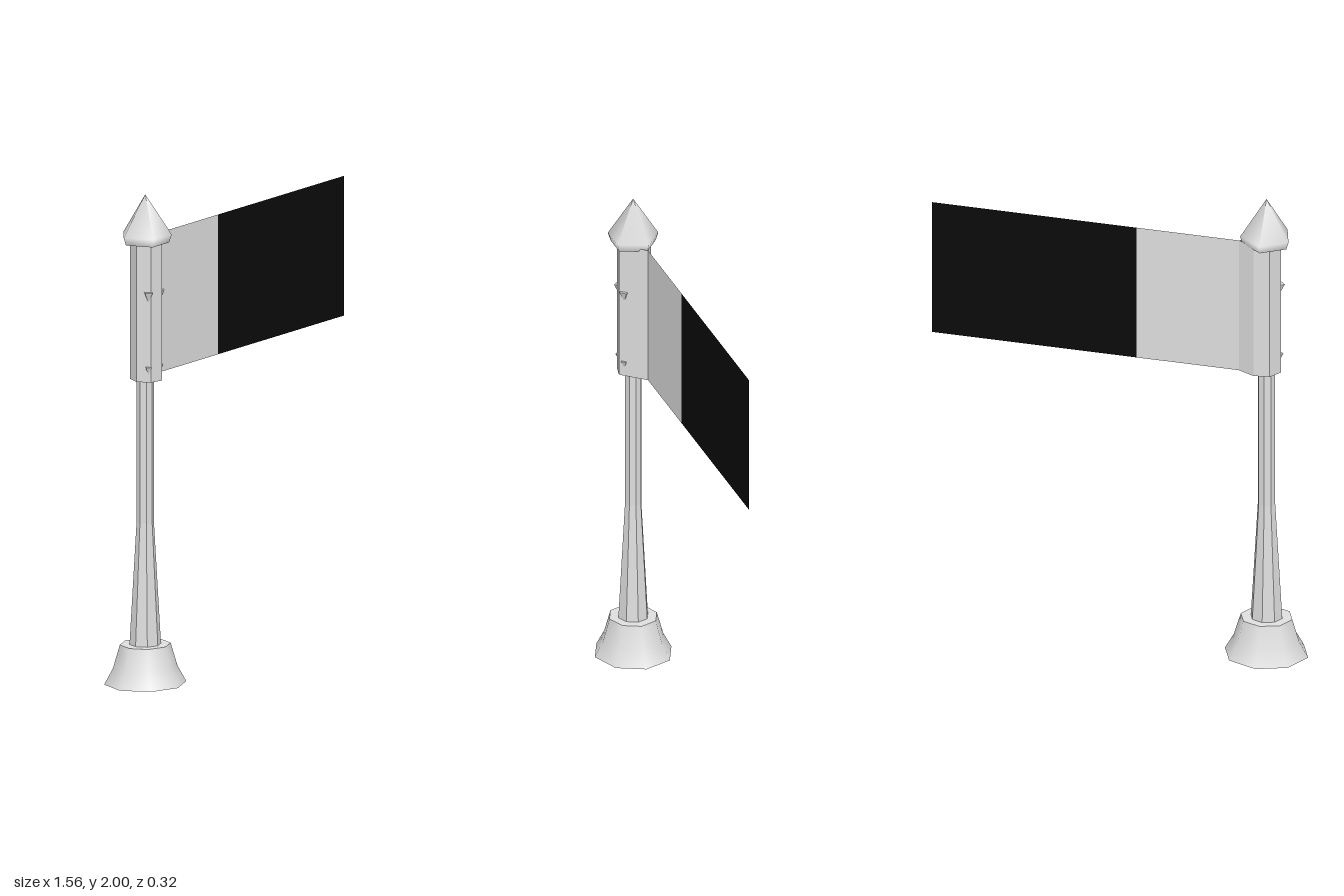
import * as THREE from 'three';

const POLE_X = -0.607;

export function createModel() {
  const group = new THREE.Group();
  const pale = new THREE.MeshStandardMaterial({ color: 0xdedede, side: THREE.DoubleSide });
  pale.name = 'paleGrey';
  const black = new THREE.MeshStandardMaterial({ color: 0x0a0a0a, side: THREE.DoubleSide });
  black.name = 'black';

  const add = (name, geometry, material, x = 0, y = 0, z = 0) => {
    const mesh = new THREE.Mesh(geometry, material);
    mesh.name = name;
    mesh.position.set(x, y, z);
    group.add(mesh);
    return mesh;
  };
  const lathe = (points, sides, start = 0) =>
    new THREE.LatheGeometry(points.map(([r, y]) => new THREE.Vector2(r, y)), sides, start);
  const faceted = (geometry) => {
    const flat = geometry.toNonIndexed();
    flat.computeVertexNormals();
    return flat;
  };

  // Flared foot, open underneath, with a flat top
  const foot = lathe([[0.173, 0], [0.136, 0.065], [0.107, 0.16]], 8);
  add('foot', foot.scale(1, 1, 0.93), pale, POLE_X);
  const footTop = new THREE.CircleGeometry(0.107, 8).rotateX(-Math.PI / 2).scale(1, 1, 0.93);
  add('footTop', footTop, pale, POLE_X, 0.16);

  // Faceted pole, tapering in its lower part
  const pole = lathe([[0.066, 0.15], [0.036, 0.66], [0.036, 1.81]], 8);
  add('pole', faceted(pole.scale(1, 1, 0.95)), pale, POLE_X);

  // Five-sided pointed finial
  add('finial', lathe([[0.095, 1.803], [0.106, 1.835], [0, 2]], 5, Math.PI), pale, POLE_X);
  const under = new THREE.CircleGeometry(0.095, 5, Math.PI / 2).rotateX(Math.PI / 2).rotateY(Math.PI);
  add('finialUnderside', under, pale, POLE_X, 1.803);

  // Cloth sleeve wrapped round the pole, open at both ends
  const profile = [
    [-0.50, -0.027], [-0.57, -0.062], [-0.635, -0.055], [-0.667, 0],
    [-0.645, 0.055], [-0.585, 0.067], [-0.50, -0.027],
  ];
  const bottom = 1.243, top = 1.815;
  const positions = [];
  for (let i = 0; i < profile.length - 1; i++) {
    const [ax, az] = profile[i], [bx, bz] = profile[i + 1];
    positions.push(ax, bottom, az, bx, top, bz, bx, bottom, bz);
    positions.push(ax, bottom, az, ax, top, az, bx, top, bz);
  }
  const sleeve = new THREE.BufferGeometry();
  sleeve.setAttribute('position', new THREE.Float32BufferAttribute(positions, 3));
  // Outward winding
  for (let i = 0; i < positions.length; i += 9) {
    for (let k = 0; k < 3; k++) {
      const a = positions[i + 3 + k];
      positions[i + 3 + k] = positions[i + 6 + k];
      positions[i + 6 + k] = a;
    }
  }
  const area = profile.slice(0, -1).reduce((sum, [x, z], i) => {
    const [nx, nz] = profile[i + 1];
    return sum + x * nz - nx * z;
  }, 0);
  if (area > 0) sleeve.setAttribute('position', new THREE.Float32BufferAttribute(positions, 3));
  sleeve.computeVertexNormals();
  add('sleeve', sleeve, pale);

  // Flat banner in two coloured panels
  const height = top - bottom, midY = (top + bottom) / 2;
  const panel = (name, x0, x1, material) =>
    add(name, new THREE.PlaneGeometry(x1 - x0, height), material, (x0 + x1) / 2, midY, -0.027);
  panel('palePanel', -0.50, -0.075, pale);
  panel('blackPanel', -0.075, 0.777, black);

  // Small pointed studs poking through the sleeve
  for (const [y, size] of [[1.59, 0.022], [1.29, 0.016]]) {
    for (const [x, z] of [[-0.572, 0.048], [-0.648, 0.045]]) {
      const stud = new THREE.ConeGeometry(size, size * 2, 4).rotateX(Math.PI);
      add('stud', faceted(stud), pale, x, y, z);
    }
  }
  return group;
}
